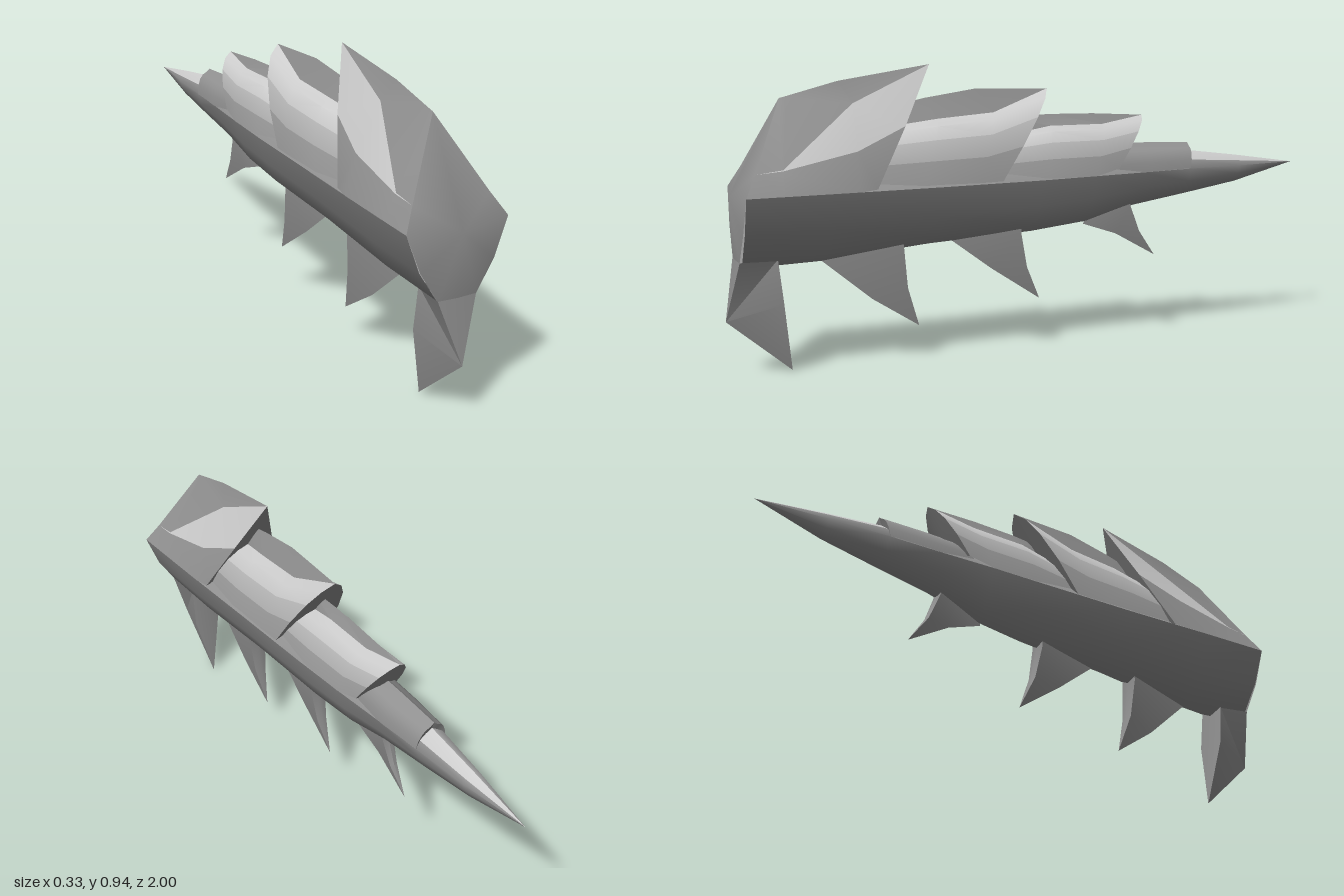
import * as THREE from 'three';
import { toCreasedNormals } from 'three/addons/utils/BufferGeometryUtils.js';

// Tones: dark shell, pale flanks and two steps between them
const tones = [0x909090, 0xcccccc, 0xb8b8b8, 0xa0a0a0].map(color =>
  new THREE.MeshStandardMaterial({ color, side: THREE.DoubleSide }));

// Skins columns of [x, y, z] points, mirrored over x = 0. Each row strip takes a tone;
// extra holds single dark triangles.
function mirroredSkin(name, cols, { rowTones = [], extra = [], crease = 0.5 } = {}) {
  const pos = [];
  const tri = (a, b, c) => {
    const [p, q, r] = [a, b, c].map(v => new THREE.Vector3(...v));
    if (q.clone().sub(p).cross(r.clone().sub(p)).length() < 1e-7) return;
    pos.push(...a, ...b, ...c);
    for (const v of [a, c, b]) pos.push(-v[0], v[1], v[2]);
  };
  const g = new THREE.BufferGeometry();
  const group = (tone, fill) => {
    const start = pos.length / 3;
    fill();
    g.addGroup(start, pos.length / 3 - start, tone);
  };
  for (let i = 0; i < cols[0].length - 1; i++) {
    group(rowTones[i] ?? 0, () => {
      for (let j = 0; j < cols.length - 1; j++) {
        const a = cols[j][i], b = cols[j][i + 1], c = cols[j + 1][i + 1], d = cols[j + 1][i];
        tri(a, b, c);
        tri(a, c, d);
      }
    });
  }
  group(0, () => extra.forEach(t => tri(...t)));
  g.setAttribute('position', new THREE.Float32BufferAttribute(pos, 3));
  const mesh = new THREE.Mesh(toCreasedNormals(g, crease), tones);
  mesh.name = name;
  return mesh;
}

// Overlapping back scale: columns run front to rear, rear rim closes to an inner point
function scale(name, cols, inner, rowTones) {
  const rim = cols[cols.length - 1];
  const extra = rim.slice(1).map((p, i) => [inner, rim[i], p]);
  return mirroredSkin(name, cols, { rowTones, extra, crease: 0.48 });
}

// One rib of a scale: ridge, foot of the crest, then a rounded flank down to the side line
function rib(ridge, foot, side) {
  const flank = [[0.36, 0.105], [0.66, 0.3], [0.89, 0.61]].map(([u, v]) => [
    foot[0] + (side[0] - foot[0]) * u,
    foot[1] + (side[1] - foot[1]) * v,
    foot[2] + (side[2] - foot[2]) * v,
  ]);
  return [ridge, foot, ...flank, side];
}

// Thin belly spike swept backwards with a sharp front edge; points are [y, z]
function spike(name, front, mid, tip, rear, w) {
  const my = (rear[0] + tip[0]) / 2, mz = (rear[1] + tip[1]) / 2 + 0.012;
  const t = [0, ...tip];
  return mirroredSkin(name, [
    [t, t, t],
    [[0, ...mid], [w * 0.65, my, mz + 0.004], [0, my, mz]],
    [[0, ...front], [w, rear[0], rear[1] + 0.004], [0, ...rear]],
    [[0, front[0] + 0.07, front[1]], [w, rear[0] + 0.07, rear[1] + 0.004], [0, rear[0] + 0.07, rear[1]]],
  ]);
}

export function createModel() {
  const model = new THREE.Group();
  model.name = 'spinedTail';

  // Tapering body: z, half width, top, side height, bottom
  const sections = [
    [0.955, 0.165, 0.567, 0.565, 0.33], [0.7, 0.149, 0.60, 0.565, 0.338],
    [0.35, 0.123, 0.62, 0.565, 0.37], [0, 0.1, 0.62, 0.567, 0.388],
    [-0.2, 0.085, 0.62, 0.57, 0.41], [-0.377, 0.068, 0.62, 0.572, 0.455],
    [-0.57, 0.052, 0.635, 0.575, 0.485], [-0.77, 0.032, 0.61, 0.575, 0.518],
    [-1, 0, 0.577, 0.577, 0.577],
  ];
  model.add(mirroredSkin('body', sections.map(([z, w, top, side, low]) => {
    const h = side - low;
    return [[0, top, z], [w * 0.8, side + (top - side) * 0.5, z], [w, side, z],
      [w * 0.73, side - h * 0.49, z], [w * 0.38, side - h * 0.87, z], [0, low, z]];
  }), { rowTones: [1], crease: 0.8 }));

  // Slanted front plate
  const hub = [0, 0.55, 0.98];
  const edge = [[0, 0.845, 0.82], [0.125, 0.63, 0.92], [0.165, 0.565, 0.955],
    [0.12, 0.45, 0.96], [0.063, 0.36, 0.963], [0, 0.36, 0.967]];
  model.add(mirroredSkin('frontPlate', [edge.map(() => hub), edge], { crease: 1.2 }));

  // Large front scale with a pale inset flank
  const tip1 = [0, 0.94, 0.345], tip2 = [0, 0.856, -0.056];
  const tip3 = [0, 0.76, -0.404], tip4 = [0, 0.66, -0.58];
  model.add(scale('backScale1', [
    [edge[0], edge[1], edge[1], edge[2]],
    [[0, 0.85, 0.8], [0.122, 0.64, 0.837], [0.124, 0.637, 0.837], [0.158, 0.565, 0.84]],
    [[0, 0.893, 0.64], [0.025, 0.825, 0.6], [0.108, 0.685, 0.607], [0.143, 0.565, 0.607]],
    [tip1, tip1, [0.073, 0.754, 0.446], [0.133, 0.57, 0.553]],
  ], [0, 0.6, 0.53], [0, 1, 0]));

  // Crested scales with rounded flanks that fade into the body
  const fade = [0, 1, 1, 2, 3];
  model.add(scale('backScale2', [
    rib([0, 0.81, 0.48], [0.02, 0.75, 0.48], [0.115, 0.565, 0.6]),
    rib([0, 0.835, 0.36], [0.03, 0.77, 0.33], [0.12, 0.565, 0.4]),
    rib([0, 0.86, 0.195], [0.028, 0.785, 0.14], [0.111, 0.565, 0.22]),
    rib(tip2, tip2, [0.105, 0.565, 0.14]),
  ], [0, 0.6, 0.11], fade));
  model.add(scale('backScale3', [
    rib([0, 0.765, 0.08], [0.015, 0.71, 0.08], [0.09, 0.566, 0.16]),
    rib([0, 0.772, -0.06], [0.02, 0.735, -0.06], [0.096, 0.567, -0.02]),
    rib([0, 0.77, -0.22], [0.016, 0.735, -0.25], [0.086, 0.57, -0.2]),
    rib(tip3, tip3, [0.075, 0.59, -0.286]),
  ], [0, 0.6, -0.31], fade));
  model.add(scale('backScale4', [
    rib([0, 0.668, -0.28], [0.02, 0.65, -0.28], [0.07, 0.571, -0.26]),
    rib([0, 0.666, -0.42], [0.02, 0.648, -0.42], [0.066, 0.573, -0.42]),
    rib(tip4, [0.012, 0.65, -0.58], [0.053, 0.577, -0.568]),
  ], [0, 0.58, -0.55], []));

  // Broad first spike flowing out of the front plate
  const point = [0, 0, 0.8], keel = [0, 0.17, 1];
  model.add(mirroredSkin('frontSpike', [
    [point, point, point, point],
    [keel, keel, [0.048, 0.22, 0.83], [0, 0.22, 0.826]],
    [[0, 0.36, 0.967], [0.063, 0.36, 0.963], [0.045, 0.36, 0.845], [0, 0.36, 0.84]],
  ]));

  // Belly spikes
  model.add(spike('bellySpike2', [0.337, 0.7], [0.203, 0.54], [0.105, 0.388], [0.364, 0.44], 0.032));
  model.add(spike('bellySpike3', [0.374, 0.275], [0.273, 0.14], [0.16, -0.03], [0.385, 0.04], 0.027));
  model.add(spike('bellySpike4', [0.4, -0.19], [0.36, -0.31], [0.278, -0.457], [0.455, -0.36], 0.02));
  return model;
}
